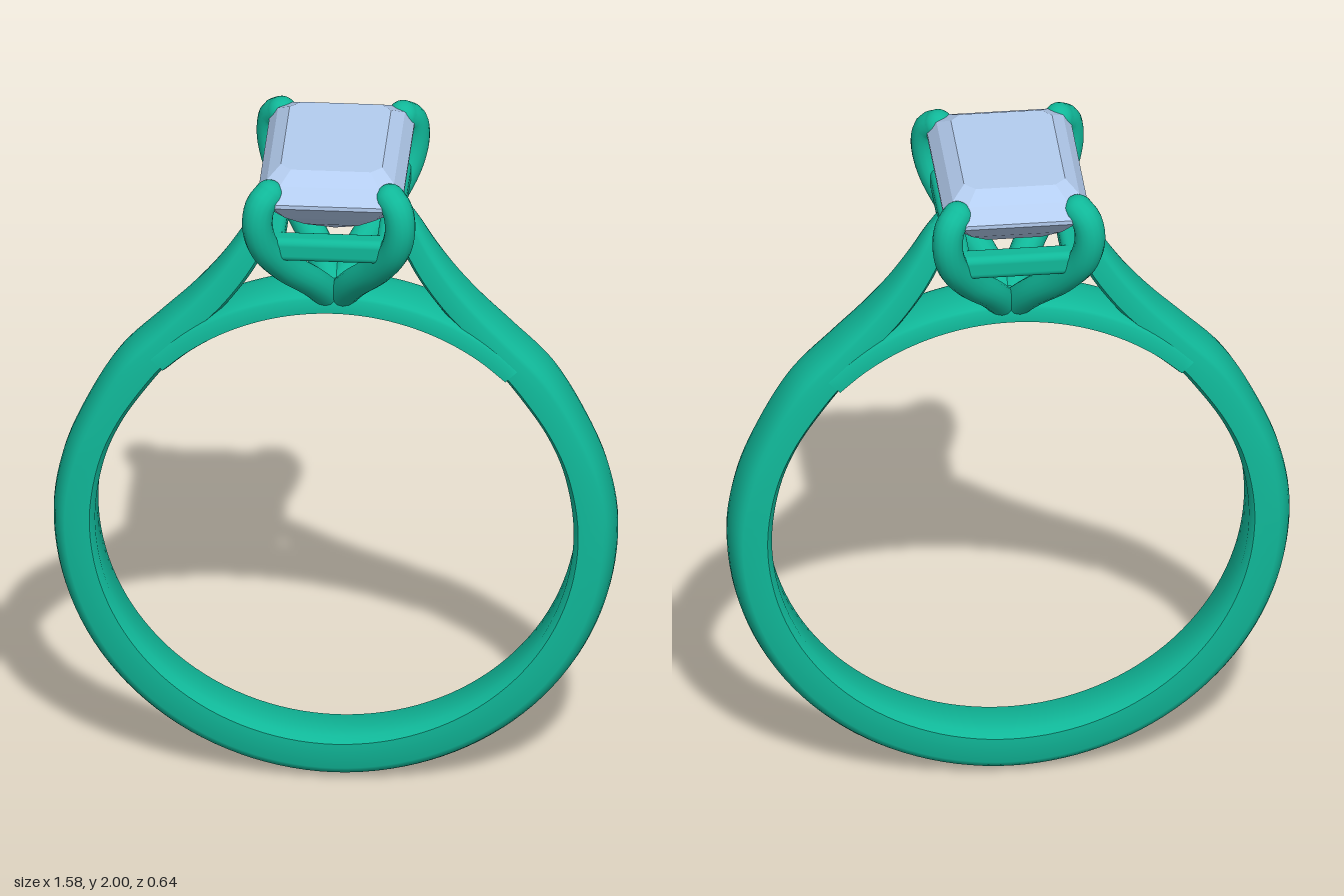
import * as THREE from 'three';
import { toCreasedNormals } from 'three/addons/utils/BufferGeometryUtils.js';
import { RoundedBoxGeometry } from 'three/addons/geometries/RoundedBoxGeometry.js';

const metal = new THREE.MeshStandardMaterial({ color: 0x10b899 });
const gem = new THREE.MeshStandardMaterial({ color: 0xb4cdf0, flatShading: true });
const CY = 0.805; // height of the finger hole's centre
const INNER = 0.67;

// Skin a list of equal-length point loops and cap both ends
function loft(rings) {
  const n = rings[0].length, pos = rings.flat(2), idx = [];
  for (let i = 0; i < rings.length - 1; i++) {
    for (let k = 0; k < n; k++) {
      const a = i * n + k, b = i * n + (k + 1) % n;
      idx.push(a, b, b + n, a, b + n, a + n);
    }
  }
  const last = (rings.length - 1) * n;
  for (let k = 1; k < n - 1; k++) idx.push(0, k + 1, k, last, last + k, last + k + 1);
  const g = new THREE.BufferGeometry();
  g.setAttribute('position', new THREE.Float32BufferAttribute(pos, 3));
  g.setIndex(idx);
  g.computeVertexNormals();
  return g;
}

// Band cross-section: [across the width, inner to outer], domed outside and eased inside
const half = [[0.75, 0], [1, 0.12], [1, 0.7], [0.93, 0.79], [0.8, 0.87], [0.6, 0.94], [0.32, 0.985]];
const section = [...half, [0, 1], ...half.map(([v, u]) => [-v, u]).reverse()];

// Sweep the section along stations of [innerX, innerY, outerX, outerY, halfWidth]
function band(stations, steps) {
  const spline = (f) => new THREE.CatmullRomCurve3(stations.map(f));
  const inner = spline((s) => new THREE.Vector3(s[0], s[1], s[4]));
  const outer = spline((s) => new THREE.Vector3(s[2], s[3], 0));
  const rings = [];
  for (let i = 0; i <= steps; i++) {
    const a = inner.getPoint(i / steps), b = outer.getPoint(i / steps);
    rings.push(section.map(([v, u]) => [a.x + (b.x - a.x) * u, a.y + (b.y - a.y) * u, v * a.z]));
  }
  return toCreasedNormals(loft(rings), 0.75);
}

function circleStation(angle, outerRadius, w) {
  const c = Math.cos(angle), s = Math.sin(angle);
  return [INNER * c, CY + INNER * s, outerRadius * c, CY + outerRadius * s, w];
}

export function createModel() {
  const root = new THREE.Group();
  const add = (name, geometry, material = metal, parent = root) => {
    const m = new THREE.Mesh(geometry, material);
    m.name = name;
    parent.add(m);
    return m;
  };

  // Shank with tapering shoulders, mirrored about x = 0
  const right = [];
  for (let i = 1; i <= 6; i++) {
    right.push(circleStation(-Math.PI / 2 + i * Math.PI / 12, 0.8 - 0.01 * i / 6, 0.085));
  }
  right.push(
    [0.645, 0.985, 0.765, 0.97, 0.085],
    [0.595, 1.11, 0.71, 1.115, 0.084],
    [0.513, 1.236, 0.61, 1.295, 0.082],
    [0.44, 1.33, 0.495, 1.415, 0.079],
    [0.375, 1.41, 0.41, 1.5, 0.074],
    [0.305, 1.485, 0.335, 1.59, 0.066],
    [0.23, 1.59, 0.275, 1.68, 0.054],
    [0.185, 1.68, 0.235, 1.75, 0.04],
    [0.165, 1.74, 0.2, 1.805, 0.022],
  );
  const left = right.map(([a, b, c, d, w]) => [-a, b, -c, d, w]).reverse();
  add('shank', band([...left, circleStation(-Math.PI / 2, 0.8, 0.085), ...right], 160));

  // Thin arch closing the hole below the setting
  const arch = [];
  for (let i = 0; i <= 12; i++) {
    arch.push(circleStation(Math.PI * (0.25 + 0.5 * i / 12), 0.745, 0.083));
  }
  add('bridge', band(arch, 48));

  // Four claws rising from the bridge and curling over the stone's corners
  const prongs = new THREE.Group();
  prongs.name = 'prongs';
  root.add(prongs);
  const path = [
    [0.015, 1.52, 0.035], [0.06, 1.6, 0.11], [0.135, 1.7, 0.205], [0.185, 1.79, 0.262],
    [0.2, 1.865, 0.278], [0.192, 1.92, 0.27], [0.17, 1.943, 0.247],
  ];
  for (const sx of [1, -1]) {
    for (const sz of [1, -1]) {
      const pts = path.map(([x, y, z]) => new THREE.Vector3(x * sx, y, z * sz));
      add('prong', new THREE.TubeGeometry(new THREE.CatmullRomCurve3(pts), 40, 0.043, 16), metal, prongs);
      add('prongTip', new THREE.SphereGeometry(0.043, 16, 12), metal, prongs).position.copy(pts.at(-1));
      add('prongFoot', new THREE.SphereGeometry(0.043, 16, 12), metal, prongs).position.copy(pts[0]);
    }
  }

  // Rectangular gallery rail tying the claws together
  const rail = new THREE.Group();
  rail.name = 'galleryRail';
  root.add(rail);
  for (const s of [1, -1]) {
    add('railEnd', new RoundedBoxGeometry(0.38, 0.07, 0.065, 3, 0.02), metal, rail).position.set(0, 1.775, s * 0.235);
    add('railSide', new RoundedBoxGeometry(0.065, 0.07, 0.53, 3, 0.02), metal, rail).position.set(s * 0.162, 1.775, 0);
  }

  // Step-cut stone: [height, half width, half length, corner cut], bottom to top
  const levels = [
    [1.735, 0.006, 0.04, 0.003], [1.81, 0.095, 0.165, 0.02], [1.865, 0.16, 0.235, 0.035],
    [1.92, 0.203, 0.287, 0.045], [1.932, 0.203, 0.287, 0.045],
    [1.972, 0.178, 0.25, 0.038], [2.0, 0.142, 0.2, 0.03],
  ];
  const stone = loft(levels.map(([y, x, z, c]) => [
    [x, y, z - c], [x, y, c - z], [x - c, y, -z], [c - x, y, -z],
    [-x, y, c - z], [-x, y, z - c], [c - x, y, z], [x - c, y, z],
  ]));
  add('stone', stone.toNonIndexed(), gem).geometry.computeVertexNormals();

  return root;
}
